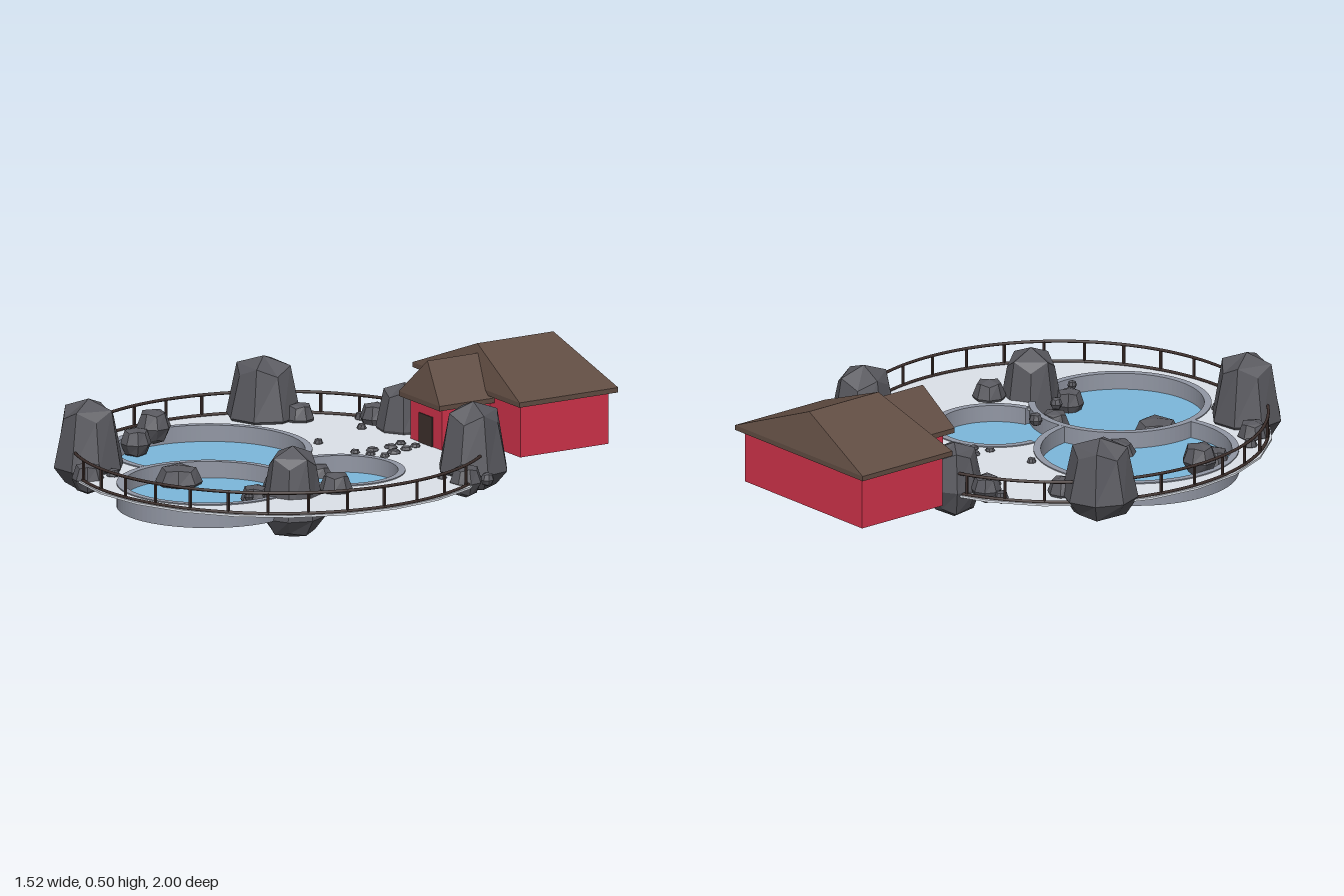
import * as THREE from 'three';

const DECK_Y = 0.163, CENTER_Z = 0.24, RAIL_R = 0.745;

function mat(color, extra = {}) {
  const m = new THREE.MeshStandardMaterial({ color, ...extra });
  return m;
}
const M = {
  deck: mat(0xdde2ea, { side: THREE.DoubleSide }),
  stone: mat(0x9297a4),
  water: mat(0x7cb8dc),
  floor: mat(0x6c7178),
  rock: mat(0x58585e, { flatShading: true }),
  wall: mat(0xd2334b),
  roof: mat(0x614d43, { flatShading: true }),
  wood: mat(0x3e302d),
};

function add(parent, name, geo, material, x = 0, y = 0, z = 0) {
  const mesh = new THREE.Mesh(geo, material);
  mesh.name = name;
  mesh.position.set(x, y, z);
  parent.add(mesh);
  return mesh;
}

// extrudes a plan drawn in (x, z) downwards from y = 0
function slab(shape, depth) {
  return new THREE.ExtrudeGeometry(shape, { depth, bevelEnabled: false, curveSegments: 48 }).rotateX(Math.PI / 2);
}

// pools: centre x, centre z, radius, wall start and end angle
const POOLS = [
  ['frontPool', 0, 0.62, 0.327, 0, Math.PI * 2],
  ['largePool', -0.325, 0.25, 0.367, 1.577, 6.406],
  ['smallPool', 0.23, 0.167, 0.23, 3.438, 7.815],
];

// deck with one hole: the union of the pools, traced from the point where they meet
function makeDeck(root) {
  const shape = new THREE.Shape(), hole = new THREE.Path();
  const outline = [], edge = [], ox = 0.037, oz = 0.297;
  for (let i = 0; i < 24; i++) {
    const a = (i / 24) * Math.PI * 2;
    outline.push(new THREE.Vector2(0.76 * Math.cos(a), CENTER_Z + 0.76 * Math.sin(a)));
  }
  for (let i = 0; i < 160; i++) {
    const a = (i / 160) * Math.PI * 2, dx = Math.cos(a), dz = Math.sin(a);
    let far = 0.005;
    for (const [, cx, cz, r] of POOLS) {
      const px = ox - cx, pz = oz - cz, b = px * dx + pz * dz;
      const disc = b * b - (px * px + pz * pz - (r - 0.01) ** 2);
      if (disc > 0) far = Math.max(far, -b + Math.sqrt(disc));
    }
    edge.push(new THREE.Vector2(ox + dx * far, oz + dz * far));
  }
  shape.setFromPoints(outline);
  hole.setFromPoints(edge);
  shape.holes.push(hole);
  add(root, 'deck', slab(shape, 0.008), M.deck, 0, DECK_Y - 0.002, 0);
}

function makePools(root) {
  POOLS.forEach(([name, x, z, r, a0, a1], i) => {
    const pool = new THREE.Group();
    pool.name = name;
    pool.position.set(x, 0, z);
    const ring = new THREE.Shape();
    ring.absarc(0, 0, r, a0, a1, false);
    if (i === 0) {
      ring.holes.push(new THREE.Path().absarc(0, 0, r - 0.026, 0, Math.PI * 2, true));
    } else {
      ring.absarc(0, 0, r - 0.026, a1, a0, true);
    }
    add(pool, 'poolWall', slab(ring, 0.087), M.stone, 0, DECK_Y + 0.002, 0);
    const disc = new THREE.CircleGeometry(r - 0.01, 64);
    add(pool, 'water', disc.clone().rotateX(-Math.PI / 2), M.water, 0, 0.105 - i * 0.0005, 0);
    add(pool, 'poolFloor', disc.clone().rotateX(Math.PI / 2), M.floor, 0, 0.08 + i * 0.0005, 0);
    root.add(pool);
  });
}

// fence ring, open where the house stands
function makeFence(root) {
  const fence = new THREE.Group();
  fence.name = 'fence';
  const start = -Math.PI / 2 + 0.53, sweep = Math.PI * 2 - 0.48, posts = 30;
  const at = (t, y) => {
    const a = start + sweep * t;
    return new THREE.Vector3(RAIL_R * Math.cos(a), y, CENTER_Z + RAIL_R * Math.sin(a));
  };
  for (const [name, y] of [['topRail', 0.24], ['bottomRail', 0.165]]) {
    const pts = Array.from({ length: 61 }, (_, i) => at(i / 60, y));
    add(fence, name, new THREE.TubeGeometry(new THREE.CatmullRomCurve3(pts), 120, 0.006, 6), M.wood);
  }
  for (let i = 0; i <= posts; i++) {
    const p = at(i / posts, 0.202);
    add(fence, 'fencePost', new THREE.BoxGeometry(0.008, 0.08, 0.008), M.wood, p.x, p.y, p.z);
  }
  root.add(fence);
}

// hipped roof with its ridge along z, on a thin eave board
function roof(parent, name, x, w, z0, z1, ridge0, ridge1, y0, y1) {
  const d = z1 - z0, zc = (z0 + z1) / 2, eave = 0.018;
  const geo = new THREE.BoxGeometry(w, y1 - y0 - eave, d);
  const p = geo.attributes.position;
  for (let i = 0; i < p.count; i++) {
    if (p.getY(i) > 0) {
      p.setX(i, 0);
      p.setZ(i, (p.getZ(i) > 0 ? ridge1 : ridge0) - zc);
    }
  }
  geo.computeVertexNormals();
  add(parent, name, geo, M.roof, x, (y0 + eave + y1) / 2, zc);
  add(parent, name + 'Eave', new THREE.BoxGeometry(w, eave, d), M.roof, x, y0 + eave / 2, zc);
}

function makeHouse(root) {
  const house = new THREE.Group();
  house.name = 'house';
  house.position.set(0.287, 0, -0.702);
  house.rotation.y = -0.271;
  add(house, 'houseWalls', new THREE.BoxGeometry(0.65, 0.195, 0.374), M.wall, 0, 0.2475, 0);
  roof(house, 'mainRoof', 0, 0.709, -0.209, 0.209, -0.161, 0.161, 0.342, 0.498);
  add(house, 'porchWalls', new THREE.BoxGeometry(0.21, 0.168, 0.24), M.wall, 0.02, 0.2345, 0.27);
  roof(house, 'porchRoof', 0.02, 0.27, 0.12, 0.42, 0.13, 0.385, 0.315, 0.468);
  add(house, 'door', new THREE.BoxGeometry(0.09, 0.11, 0.008), M.wood, 0.02, 0.215, 0.39);
  root.add(house);
}

// faceted boulder: three octagonal layers between a top and a bottom point
function rockGeometry(r, bottom, mid, top, shoulder) {
  const geo = new THREE.BoxGeometry(2, 2, 2, 2, 2, 2);
  const p = geo.attributes.position, v = new THREE.Vector3();
  for (let i = 0; i < p.count; i++) {
    v.fromBufferAttribute(p, i);
    const len = Math.hypot(v.x, v.z), layer = v.y;
    const corner = len > 1.1;
    let radius = len < 0.1 ? 0 : r;
    let y = mid;
    if (layer > 0.5) {
      radius *= shoulder;
      y = mid + (top - mid) * (len < 0.1 ? 1 : corner ? 0.72 : 0.86);
    } else if (layer < -0.5) {
      radius *= 0.68;
      y = mid + (bottom - mid) * (len < 0.1 ? 1 : corner ? 0.62 : 0.76);
    }
    const k = len < 0.1 ? 0 : radius / len;
    p.setXYZ(i, v.x * k, y, v.z * k);
  }
  geo.computeVertexNormals();
  return geo;
}

// boulders: x, z, radius, bottom, widest height, top
const BOULDERS = [
  [-0.47, 0.735, 0.13, 0.08, 0.17, 0.415], [0.58, -0.15, 0.13, 0.09, 0.17, 0.415],
  [-0.505, -0.24, 0.138, 0.08, 0.17, 0.385], [0.32, 0.525, 0.118, 0, 0.08, 0.335],
  [-0.015, -0.445, 0.102, 0.05, 0.17, 0.33],
];
// round rocks: x, z, radius, centre height
const ROCKS = [
  [-0.2, 0.31, 0.072, 0.1], [-0.22, 0.53, 0.085, 0.115], [0.055, 0.105, 0.062, 0.1],
  [-0.15, -0.44, 0.055, 0.18], [-0.375, -0.285, 0.056, 0.17], [0.41, -0.325, 0.06, 0.17],
  [0.67, -0.01, 0.06, 0.163], [-0.62, 0.22, 0.064, 0.19], [-0.615, 0.32, 0.056, 0.15],
  [-0.585, 0.605, 0.056, 0.163], [-0.37, 0.85, 0.058, 0.16], [0.415, 0.4, 0.061, 0.17],
  [0.2, 0.59, 0.054, 0.13], [0.125, 0.39, 0.056, 0.12],
];
// pebbles: x, z, radius
const PEBBLES = [
  [-0.64, 0.51, 0.026], [-0.325, 0.765, 0.025], [-0.22, -0.445, 0.025], [-0.125, -0.34, 0.018],
  [-0.095, -0.075, 0.017], [0.145, 0.3, 0.025], [0.18, 0.48, 0.023], [0.245, 0.675, 0.017],
  [0.4, -0.225, 0.018], [0.465, -0.215, 0.02], [0.515, -0.295, 0.034], [0.575, 0.01, 0.017],
  [0.71, -0.08, 0.025],
];
// path stones in front of the porch: x, z, radius
const PATH = [
  [0.13, -0.265, 0.019], [0.195, -0.27, 0.019], [0.14, -0.2, 0.025], [0.2, -0.215, 0.021],
  [0.12, -0.125, 0.023], [0.2, -0.15, 0.026], [0.095, -0.06, 0.018], [0.155, -0.075, 0.018],
  [0.21, -0.09, 0.018],
];

function makeRocks(root) {
  const rocks = new THREE.Group();
  rocks.name = 'rocks';
  const place = (name, geo, x, z, turn) => { add(rocks, name, geo, M.rock, x, 0, z).rotation.y = turn; };
  BOULDERS.forEach(([x, z, r, b, m, t], i) =>
    place('boulder', rockGeometry(r, b, m, t, 0.72), x, z, 0.25 + i * 0.9));
  ROCKS.forEach(([x, z, r, y], i) => {
    const h = i < 3 ? r * 0.7 : r;
    place('roundRock', rockGeometry(r, y - h, y, y + h, 0.72), x, z, i * 0.7);
  });
  PEBBLES.forEach(([x, z, r], i) =>
    place('pebble', rockGeometry(r, DECK_Y - r, DECK_Y, DECK_Y + r, 0.72), x, z, i));
  PATH.forEach(([x, z, r], i) =>
    place('pathStone', rockGeometry(r, DECK_Y - 0.012, DECK_Y, DECK_Y + 0.012, 0.75), x, z, i));
  root.add(rocks);
}

export function createModel() {
  const root = new THREE.Group();
  root.name = 'bathGarden';
  makeDeck(root);
  makePools(root);
  makeFence(root);
  makeHouse(root);
  makeRocks(root);
  return root;
}
